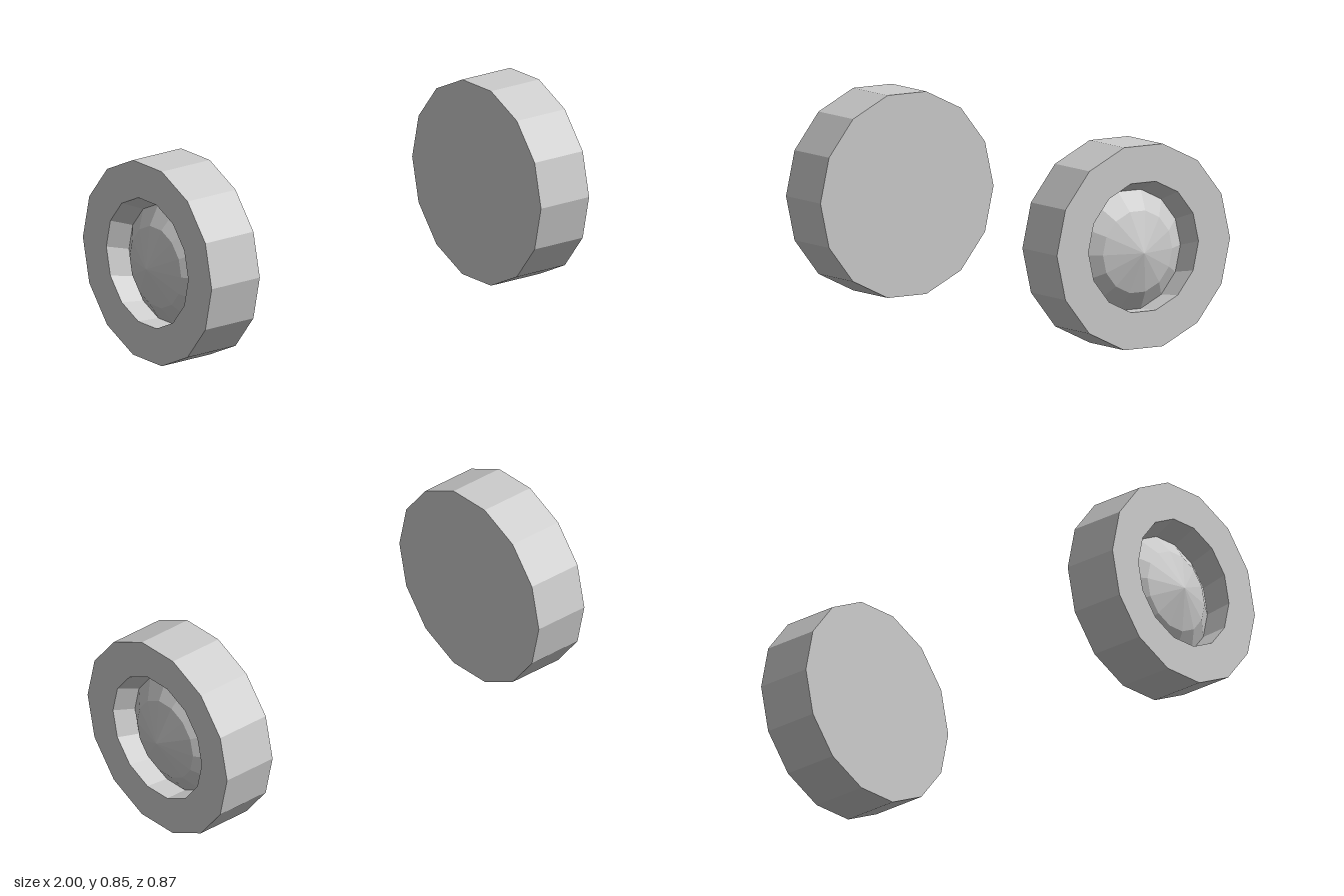
import * as THREE from 'three';

const SIDES = 14;
const AXLE_Y = 0.426; // centre of the tyre
const HUB_Y = 0.4;    // the hub sits slightly lower

// Skins a row of polygonal rings [x, radius, centreY] running along the axle.
function loft(rings) {
  const point = ([x, r, y], j) => {
    const a = (j / SIDES) * Math.PI * 2;
    return [x, y + r * Math.sin(a), r * Math.cos(a)];
  };
  const positions = [];
  for (let i = 0; i < rings.length - 1; i++) {
    const [a, b] = [rings[i], rings[i + 1]];
    for (let j = 0; j < SIDES; j++) {
      if (b[1] > 0) positions.push(...point(a, j), ...point(b, j), ...point(b, j + 1));
      if (a[1] > 0) positions.push(...point(a, j), ...point(b, j + 1), ...point(a, j + 1));
    }
  }
  const geometry = new THREE.BufferGeometry();
  geometry.setAttribute('position', new THREE.Float32BufferAttribute(positions, 3));
  geometry.computeVertexNormals();
  return geometry;
}

export function createModel() {
  const model = new THREE.Group();
  model.name = 'wheelPair';
  const grey = new THREE.MeshStandardMaterial({ color: 0xcccccc, flatShading: true });
  grey.name = 'light grey';

  const parts = {
    // Closed inner face, tread and outer sidewall
    tyre: loft([[0.74, 0, AXLE_Y], [0.74, 0.437, AXLE_Y], [0.993, 0.437, AXLE_Y], [0.993, 0.278, AXLE_Y]]),
    // Sloping wall of the recess
    rim: loft([[0.993, 0.278, AXLE_Y], [0.89, 0.257, HUB_Y]]),
    // Faceted dome
    hubcap: loft([[0.89, 0.257, HUB_Y], [0.95, 0.175, HUB_Y], [1, 0, HUB_Y]]),
  };

  // The right wheel is the left one turned half way round
  for (const side of ['left', 'right']) {
    const wheel = new THREE.Group();
    wheel.name = side + 'Wheel';
    for (const [name, geometry] of Object.entries(parts)) {
      const mesh = new THREE.Mesh(geometry, grey);
      mesh.name = name;
      wheel.add(mesh);
    }
    if (side === 'right') wheel.rotation.y = Math.PI;
    model.add(wheel);
  }
  return model;
}
